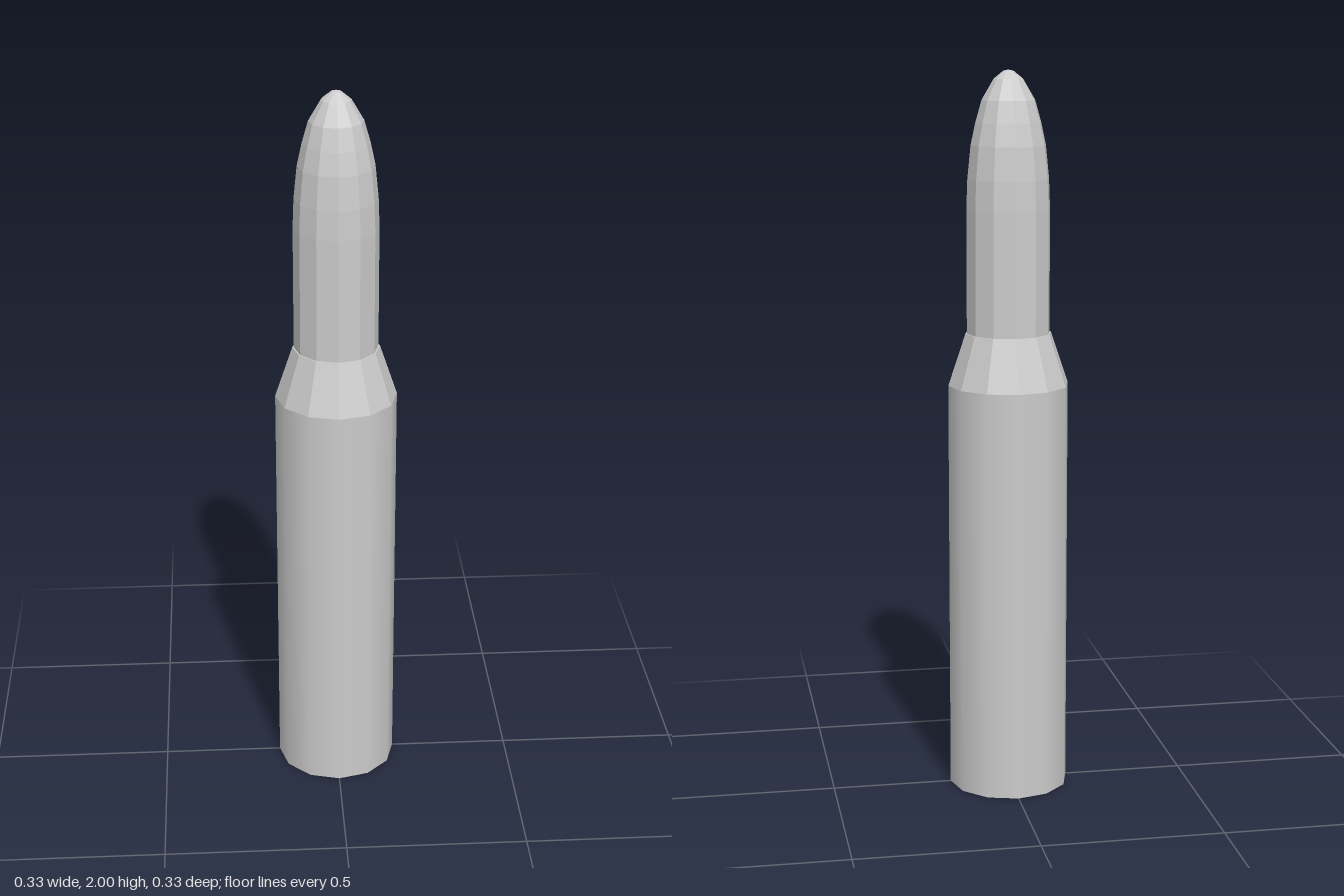
import * as THREE from 'three';

const SIDES = 12;

export function createModel() {
  const group = new THREE.Group();
  const smooth = new THREE.MeshStandardMaterial({ color: 0xcccccc });
  const flat = new THREE.MeshStandardMaterial({ color: 0xcccccc, flatShading: true });

  // Revolves a list of [radius, height] points, given from bottom to top
  const addLathe = (name, profile, material) => {
    const points = profile.map(([r, y]) => new THREE.Vector2(r, y));
    const mesh = new THREE.Mesh(new THREE.LatheGeometry(points, SIDES), material);
    mesh.name = name;
    group.add(mesh);
  };

  // Straight case wall with smooth shading, closed by a flat base
  addLathe('caseBody', [[0.167, 0], [0.167, 1.147]], smooth);
  addLathe('caseBase', [[0, 0], [0.167, 0]], flat);

  // Tapered shoulder ending in a thin rim around the projectile
  addLathe('caseShoulder', [[0.167, 1.147], [0.119, 1.29], [0.115, 1.29]], flat);

  // Faceted projectile: straight shank and rounded nose
  addLathe('projectile', [
    [0.115, 1.29], [0.115, 1.63], [0.112, 1.71], [0.103, 1.8], [0.09, 1.86],
    [0.073, 1.92], [0.04, 1.976], [0.014, 1.997], [0, 2],
  ], flat);

  return group;
}
